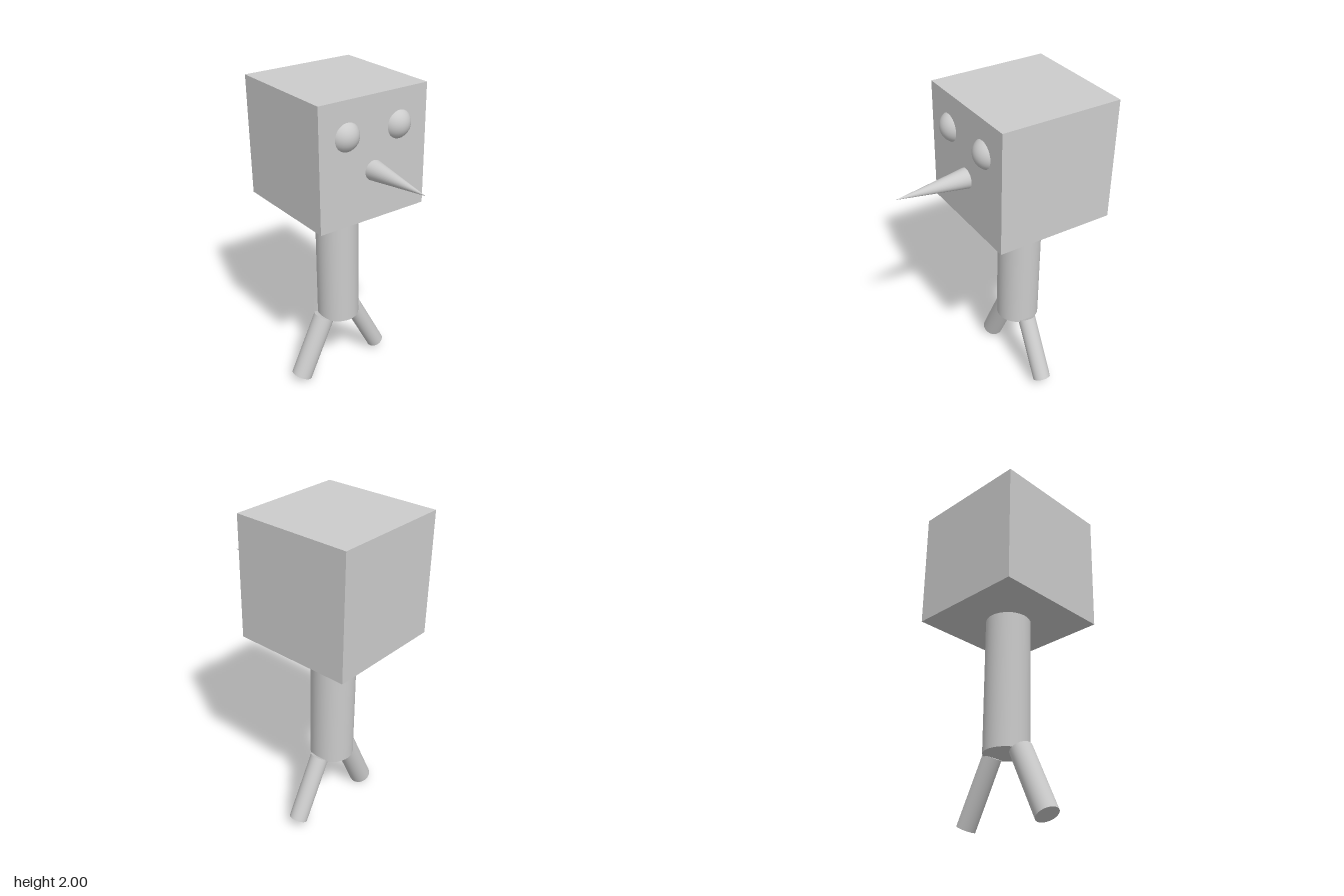
import * as THREE from 'three';

const material = new THREE.MeshStandardMaterial({ color: 0xcccccc });
const CX = -0.22; // shared axis of head, body and legs

export function createModel() {
  const model = new THREE.Group();
  model.name = 'boxHeadFigure';

  const add = (name, geometry, x, y, z) => {
    const mesh = new THREE.Mesh(geometry, material);
    mesh.name = name;
    mesh.position.set(x, y, z);
    model.add(mesh);
    return mesh;
  };

  // Cube head and cylindrical body
  add('head', new THREE.BoxGeometry(0.74, 0.74, 0.74), CX, 1.63, 0);
  add('body', new THREE.CylinderGeometry(0.135, 0.135, 0.835, 32), CX, 0.8425, 0);

  // Eyes, sunk into the +x face
  add('rightEye', new THREE.SphereGeometry(0.094, 32, 16), 0.106, 1.793, 0.183);
  add('leftEye', new THREE.SphereGeometry(0.094, 32, 16), 0.106, 1.793, -0.176);

  // Long pointed nose
  const nose = add('nose', new THREE.ConeGeometry(0.062, 0.445, 32), 0.3625, 1.56, 0);
  nose.rotation.z = -Math.PI / 2;

  // Splayed legs, each a cylinder from hip to foot
  const addLeg = (name, radius, hip, foot) => {
    const a = new THREE.Vector3(...hip), b = new THREE.Vector3(...foot);
    const mid = a.clone().add(b).multiplyScalar(0.5);
    const leg = add(name, new THREE.CylinderGeometry(radius, radius, a.distanceTo(b), 32), mid.x, mid.y, mid.z);
    leg.quaternion.setFromUnitVectors(new THREE.Vector3(0, 1, 0), a.sub(b).normalize());
  };
  addLeg('rightLeg', 0.068, [CX, 0.427, 0.114], [CX, 0.03, 0.305]);
  addLeg('leftLeg', 0.057, [CX, 0.432, -0.114], [CX, 0.051, -0.314]);

  return model;
}
